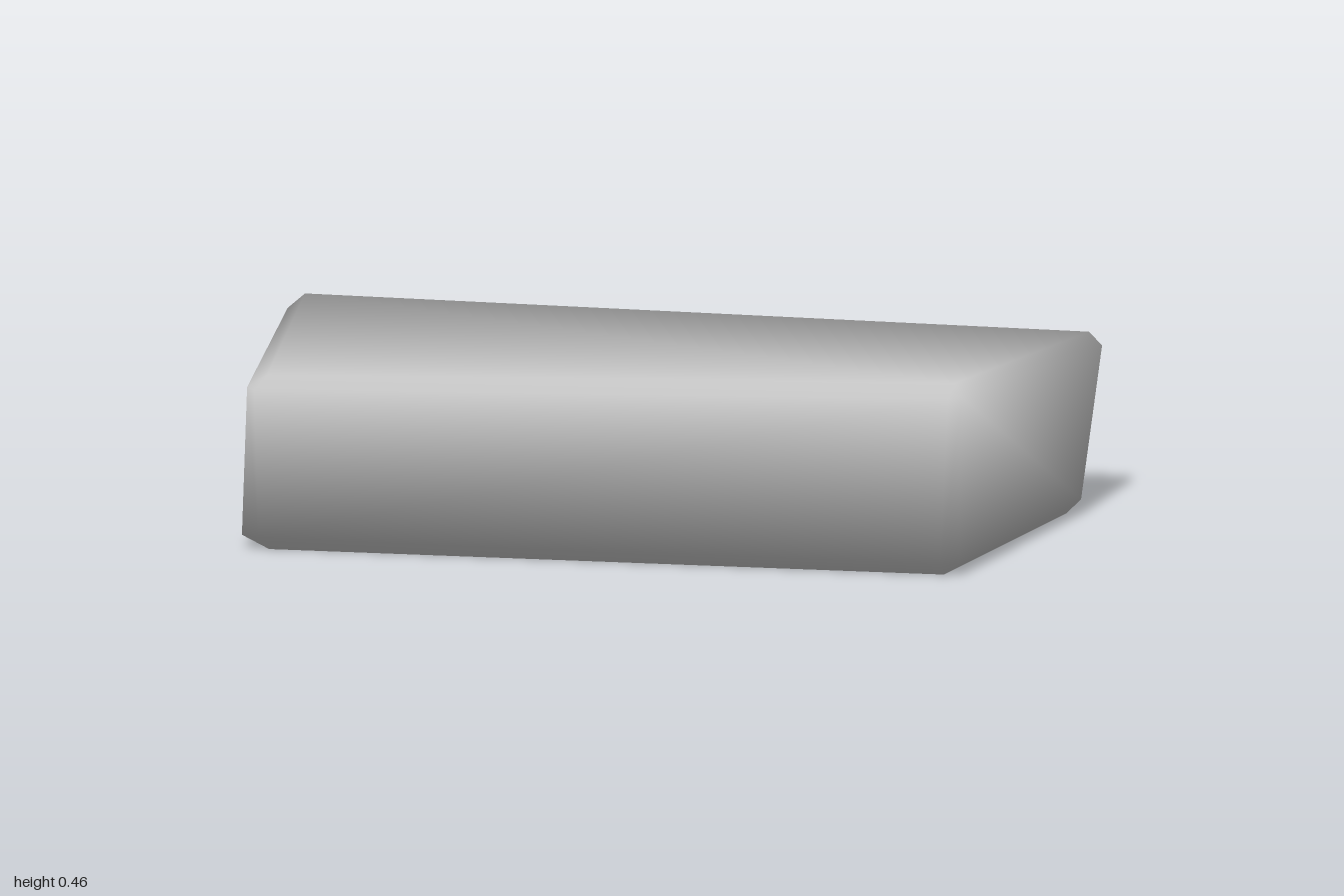
import * as THREE from 'three';

// Skewed slab: each corner has three points, one on its x face, y face and z face.
// Corner number: 1 = left (+x), 2 = top, 4 = front.
const CORNERS = [
  [[-0.90, 0.03, -0.46], [-0.86, 0, -0.45], [-0.87, 0.03, -0.485]],
  [[0.995, 0.035, -0.40], [0.96, 0, -0.40], [0.96, 0.03, -0.43]],
  [[-1.0, 0.39, -0.53], [-0.96, 0.425, -0.54], [-0.975, 0.395, -0.56]],
  [[0.985, 0.37, -0.625], [0.95, 0.40, -0.635], [0.96, 0.37, -0.648]],
  [[-0.80, 0.03, 0.61], [-0.73, 0, 0.62], [-0.75, 0.03, 0.645]],
  [[0.96, 0.03, 0.57], [0.92, 0, 0.56], [0.92, 0.03, 0.595]],
  [[-0.79, 0.385, 0.60], [-0.75, 0.41, 0.565], [-0.77, 0.38, 0.61]],
  [[0.96, 0.425, 0.54], [0.935, 0.455, 0.51], [0.93, 0.425, 0.56]],
];

// Faces as axis plus a loop of corners, folded between the first and third corner.
const FACES = [
  [0, [2, 0, 4, 6]], // right side
  [0, [7, 5, 1, 3]], // left side
  [1, [0, 1, 5, 4]], // underside
  [1, [2, 3, 7, 6]], // top
  [2, [3, 1, 0, 2]], // back
  [2, [4, 5, 7, 6]], // front
];

export function createModel() {
  const positions = [], normals = [], index = [];

  // Soft normals that lean outward at every corner
  CORNERS.forEach((points, c) => points.forEach((p, axis) => {
    positions.push(...p);
    const n = [1, 2, 4].map((bit, i) => (c & bit ? 1 : -1) * (i === axis ? 1.2 : 1));
    normals.push(...new THREE.Vector3(...n).normalize().toArray());
  }));

  const centre = new THREE.Vector3(0, 0.21, 0);
  const at = (i) => new THREE.Vector3().fromArray(positions, i * 3);
  const addTriangle = (a, b, c) => {
    const [A, B, C] = [at(a), at(b), at(c)];
    const facing = B.clone().sub(A).cross(C.clone().sub(A)).dot(A.clone().sub(centre));
    index.push(a, ...(facing > 0 ? [b, c] : [c, b]));
  };
  const addQuad = (a, b, c, d) => { addTriangle(a, b, c); addTriangle(a, c, d); };
  const id = (corner, axis) => corner * 3 + axis;

  // Six large faces
  for (const [axis, loop] of FACES) addQuad(...loop.map((c) => id(c, axis)));

  // Twelve chamfered edges and eight corner caps
  for (let c = 0; c < 8; c++) {
    addTriangle(id(c, 0), id(c, 1), id(c, 2));
    for (let axis = 0; axis < 3; axis++) {
      const other = c | (1 << axis);
      if (other === c) continue;
      const a = (axis + 1) % 3, b = (axis + 2) % 3;
      addQuad(id(c, a), id(other, a), id(other, b), id(c, b));
    }
  }

  const geometry = new THREE.BufferGeometry();
  geometry.setAttribute('position', new THREE.Float32BufferAttribute(positions, 3));
  geometry.setAttribute('normal', new THREE.Float32BufferAttribute(normals, 3));
  geometry.setIndex(index);

  const stone = new THREE.MeshStandardMaterial({ color: 0xcccccc });
  stone.name = 'stone grey';
  const slab = new THREE.Mesh(geometry, stone);
  slab.name = 'slab';

  const model = new THREE.Group();
  model.name = 'stoneSlab';
  model.add(slab);
  return model;
}
